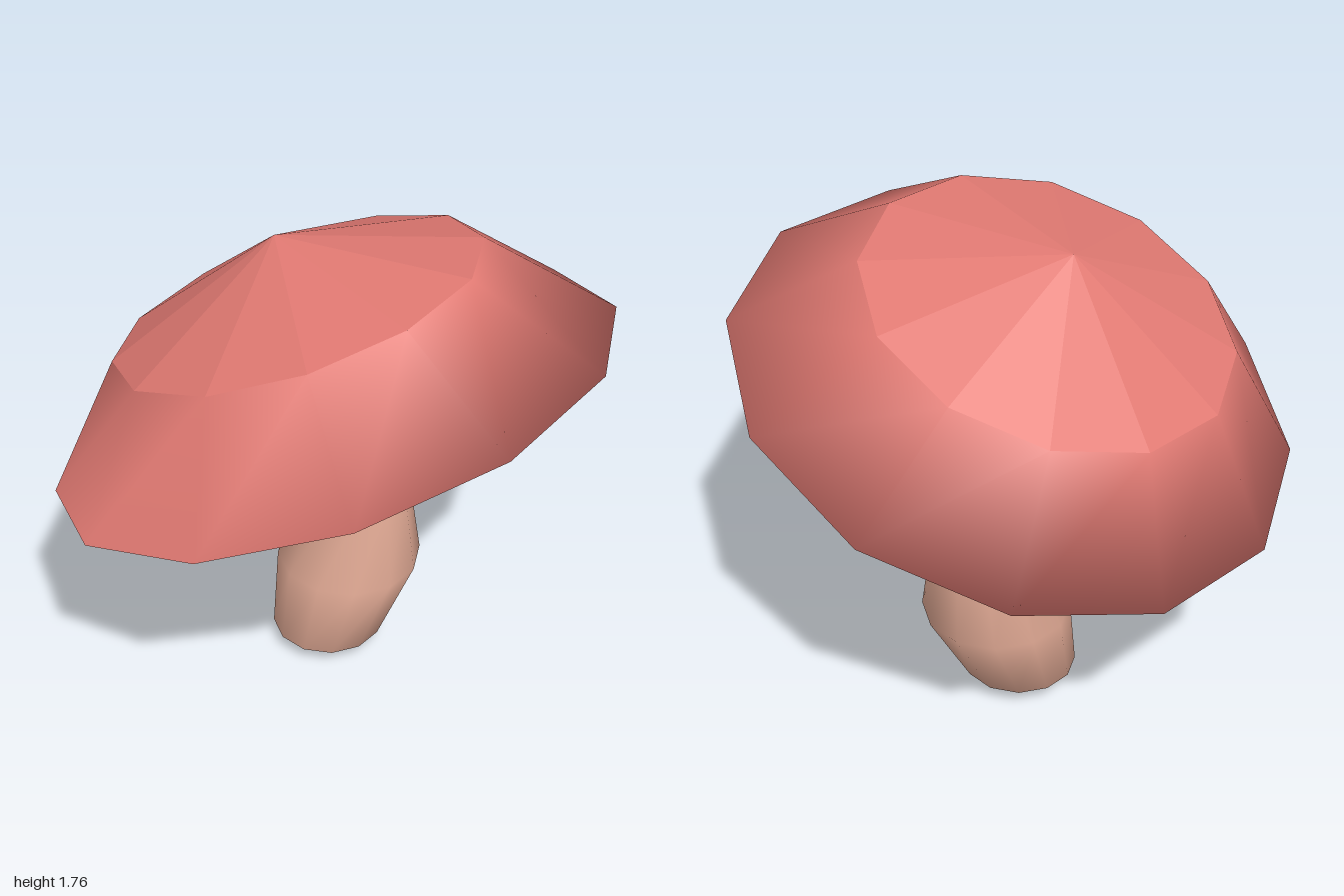
import * as THREE from 'three';

const SIDES = 12;
const X = new THREE.Vector3(1, 0, 0);
const Z = new THREE.Vector3(0, 0, 1);
// Tilted plane shared by the cap and the top of the collar
const U = new THREE.Vector3(1, 0.145, -0.05);
const V = new THREE.Vector3(0, 0.335, 0.95);
const AXIS = new THREE.Vector3().crossVectors(V, U).normalize();

// Rings are { c: centre, r: radius, u, v: plane directions }
const upright = (x, y, r) => ({ c: new THREE.Vector3(x, y, -0.107), r, u: X, v: Z });
const tilted = (c, r) => ({ c, r, u: U, v: V });
const capRing = (r, d) => tilted(new THREE.Vector3(0, 1.167, 0).addScaledVector(AXIS, d), r);

// Skins a list of rings with a smooth or faceted surface
function loft(rings) {
  const pos = [], index = [];
  for (const { c, r, u, v } of rings) {
    for (let i = 0; i < SIDES; i++) {
      const t = (i / SIDES) * Math.PI * 2;
      const p = c.clone().addScaledVector(u, r * Math.sin(t)).addScaledVector(v, -r * Math.cos(t));
      pos.push(p.x, p.y, p.z);
    }
  }
  for (let k = 0; k < rings.length - 1; k++) {
    for (let i = 0; i < SIDES; i++) {
      const j = (i + 1) % SIDES;
      const a = k * SIDES + i, b = k * SIDES + j;
      const c = a + SIDES, d = b + SIDES;
      if (rings[k].r > 0) index.push(a, c, b);
      if (rings[k + 1].r > 0) index.push(b, c, d);
    }
  }
  const g = new THREE.BufferGeometry();
  g.setAttribute('position', new THREE.Float32BufferAttribute(pos, 3));
  g.setIndex(index);
  g.computeVertexNormals();
  return g;
}

function part(name, rings, color, flatShading = false) {
  const material = new THREE.MeshStandardMaterial({ color, flatShading, side: THREE.DoubleSide });
  const mesh = new THREE.Mesh(loft(rings), material);
  mesh.name = name;
  return mesh;
}

export function createModel() {
  const model = new THREE.Group();
  model.name = 'mushroom';
  const red = 0xe27a73, tan = 0xdfa893, pale = 0xe0c1b7;

  // Thin hollow cap: inside, sharp rim and sloping side, then the shallow faceted top
  const cap = new THREE.Group();
  cap.name = 'cap';
  cap.add(
    part('capTop', [capRing(0.65, 0.385), capRing(0, 0.625)], red, true),
    part('capShell', [
      capRing(0, 0.6), capRing(0.64, 0.368), capRing(1, 0), capRing(0.65, 0.385),
    ], red),
  );
  model.add(cap);

  // Crooked stem with a pointed foot
  model.add(part('stem', [
    upright(0, 0, 0), upright(0.05, 0.07, 0.205), upright(0.145, 0.36, 0.265),
    upright(0.19, 0.69, 0.18), upright(0.08, 1.0, 0.15),
  ], tan));

  // Pale collar under the cap, its top leaning with the cap
  model.add(part('collar', [
    upright(0.08, 1.0, 0.15), upright(0.04, 1.1, 0.35),
    tilted(new THREE.Vector3(-0.06, 1.41, -0.12), 0.26),
    tilted(new THREE.Vector3(-0.06, 1.51, -0.13), 0),
  ], pale));

  return model;
}
